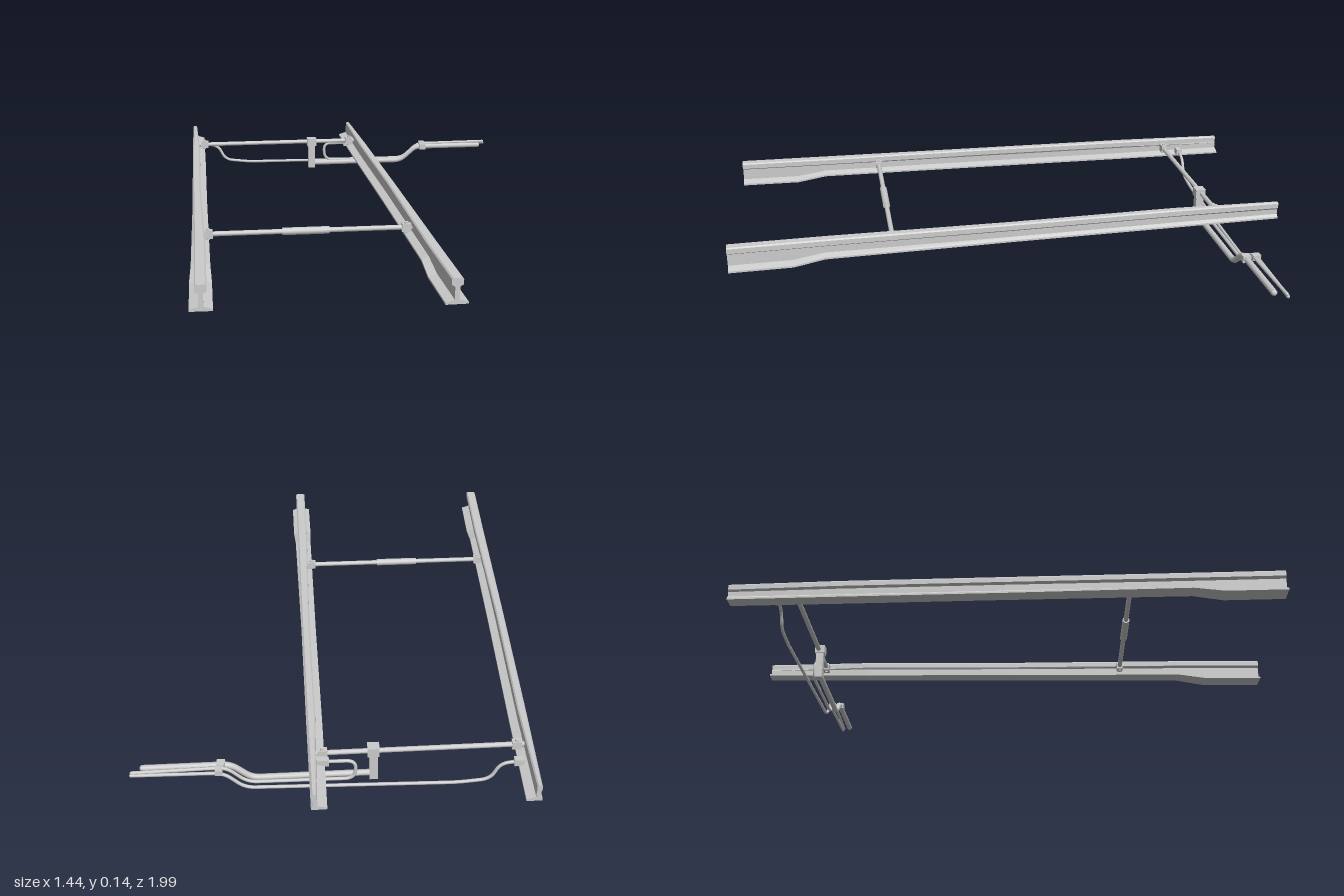
import * as THREE from 'three';

const steel = new THREE.MeshStandardMaterial({ color: 0xcccccc, side: THREE.DoubleSide });
const steelFlat = new THREE.MeshStandardMaterial({ color: 0xcccccc, flatShading: true, side: THREE.DoubleSide });
const V = (x, y, z) => new THREE.Vector3(x, y, z);

function part(name, geometry, material = steel) {
  const mesh = new THREE.Mesh(geometry, material);
  mesh.name = name;
  return mesh;
}

// Rail cross-section, counter-clockwise; u is outward, v is up
function railSection({ y0, yt, fi, fo, wi, wo, hi, ho }) {
  return [
    [fi, y0], [fo, y0], [fo, y0 + 0.006], [wo, y0 + 0.014], [wo, yt - 0.026], [ho, yt - 0.02],
    [ho, yt - 0.004], [ho - 0.004, yt], [hi + 0.004, yt], [hi, yt - 0.004], [hi, yt - 0.02],
    [wi, yt - 0.026], [wi, y0 + 0.014], [fi, y0 + 0.006],
  ].map(([u, v]) => new THREE.Vector2(u, v));
}

const full = { y0: 0.057, yt: 0.135, fi: -0.033, fo: 0.033, wi: -0.007, wo: 0.007, hi: -0.017, ho: 0.017 };
const raised = { ...full, y0: 0.073, fi: -0.03, fo: 0.028 };
const blade = { y0: 0.073, yt: 0.134, fi: -0.027, fo: 0.023, wi: -0.002, wo: 0.012, hi: -0.006, ho: 0.02 };
const tip = { y0: 0.073, yt: 0.13, fi: -0.025, fo: 0.022, wi: 0.003, wo: 0.014, hi: 0.004, ho: 0.019 };
const stations = [[0, full], [0.11, full], [0.165, raised], [0.5, blade], [0.8, blade], [1, tip]];

// Tapering switch rail lofted from heel to tip; side = +1 has its outside toward +x
function switchRail(heel, end, side) {
  const dir = end.clone().sub(heel).normalize();
  const out = V(-dir.z, 0, dir.x).multiplyScalar(side);
  const rings = stations.map(([, p]) => railSection(p));
  const n = rings[0].length;
  const pos = [], index = [];
  rings.forEach((ring, k) => {
    const c = heel.clone().lerp(end, stations[k][0]);
    for (const p of ring) {
      const q = c.clone().addScaledVector(out, p.x);
      pos.push(q.x, p.y, q.z);
    }
  });
  const tri = (a, b, c) => (side > 0 ? index.push(a, b, c) : index.push(a, c, b));
  for (let k = 0; k < rings.length - 1; k++) {
    for (let i = 0; i < n; i++) {
      const j = (i + 1) % n, a = k * n, b = a + n;
      tri(a + i, b + j, a + j);
      tri(a + i, b + i, b + j);
    }
  }
  const last = (rings.length - 1) * n;
  for (const [a, b, c] of THREE.ShapeUtils.triangulateShape(rings[0], [])) {
    tri(a, b, c);
    tri(last + a, last + c, last + b);
  }
  const g = new THREE.BufferGeometry();
  g.setAttribute('position', new THREE.Float32BufferAttribute(pos, 3));
  g.setIndex(index);
  const flat = g.toNonIndexed();
  flat.computeVertexNormals();
  return part('switchRail', flat, steelFlat);
}

// Straight round bar between two points
function bar(name, a, b, r) {
  const mesh = part(name, new THREE.CylinderGeometry(r, r, a.distanceTo(b), 12));
  mesh.position.copy(a).lerp(b, 0.5);
  mesh.quaternion.setFromUnitVectors(V(0, 1, 0), b.clone().sub(a).normalize());
  return mesh;
}

// Bent rod through points with rounded corners
function bentRod(name, pts, r, round = 0.025) {
  const path = new THREE.CurvePath();
  let from = pts[0];
  for (let i = 1; i < pts.length - 1; i++) {
    const p = pts[i];
    const toward = (q) => {
      const d = q.clone().sub(p);
      return p.clone().addScaledVector(d.clone().normalize(), Math.min(round, d.length() * 0.45));
    };
    const s = toward(pts[i - 1]), e = toward(pts[i + 1]);
    path.add(new THREE.LineCurve3(from, s));
    path.add(new THREE.QuadraticBezierCurve3(s, p, e));
    from = e;
  }
  path.add(new THREE.LineCurve3(from, pts[pts.length - 1]));
  const group = new THREE.Group();
  group.name = name;
  group.add(part('rod', new THREE.TubeGeometry(path, 120, r, 8)));
  for (const p of [pts[0], pts[pts.length - 1]]) {
    const cap = part('rodEnd', new THREE.SphereGeometry(r, 8, 6));
    cap.position.copy(p);
    group.add(cap);
  }
  return group;
}

// Block turned to line up with the cross bars
const turn = Math.atan2(0.265, 0.56);
function block(name, at, w, h, d) {
  const mesh = part(name, new THREE.BoxGeometry(w, h, d), steelFlat);
  mesh.position.copy(at);
  mesh.rotation.y = turn;
  return mesh;
}

// Bar tying both rails together, with clamps and bolts at the webs
function crossBar(name, a, b, sleeve) {
  const group = new THREE.Group();
  group.name = name;
  group.add(bar('shaft', a, b, 0.008));
  if (sleeve) group.add(bar('sleeve', a.clone().lerp(b, 0.38), a.clone().lerp(b, 0.6), 0.012));
  for (const t of [0.035, 0.965]) {
    const p = a.clone().lerp(b, t);
    group.add(block('clamp', p, 0.03, 0.026, 0.02));
    group.add(bar('bolt', p.clone().add(V(0, -0.018, 0)), p.clone().add(V(0, 0.018, 0)), 0.006));
  }
  return group;
}

export function createModel() {
  const model = new THREE.Group();
  model.name = 'railSwitchBlades';

  // Rails
  const rightRail = switchRail(V(0.045, 0, 0.978), V(-0.702, 0, -0.652), -1);
  rightRail.name = 'rightRail';
  const leftRail = switchRail(V(0.69, 0, 0.698), V(-0.142, 0, -0.917), 1);
  leftRail.name = 'leftRail';
  model.add(rightRail, leftRail);

  // Cross bars
  model.add(crossBar('frontCrossBar', V(-0.158, 0.106, 0.53), V(0.45, 0.106, 0.24), true));
  model.add(crossBar('rearCrossBar', V(-0.61, 0.106, -0.458), V(-0.045, 0.106, -0.732), false));

  // Drive rod hanging from the rear bar and passing under the left rail
  model.add(block('driveBracket', V(-0.2, 0.06, -0.652), 0.026, 0.12, 0.026));
  model.add(block('bracketCollar', V(-0.2, 0.106, -0.652), 0.036, 0.03, 0.034));
  model.add(bentRod('driveRod', [
    V(-0.2, 0.018, -0.652), V(0.13, 0.018, -0.811), V(0.185, 0.073, -0.838), V(0.418, 0.073, -0.95),
  ], 0.01));

  // Long detection rod from the right rail
  model.add(bentRod('longDetectionRod', [
    V(-0.625, 0.09, -0.518), V(-0.565, 0.085, -0.545), V(-0.54, 0.025, -0.557), V(-0.45, 0.014, -0.597),
    V(0.13, 0.014, -0.855), V(0.185, 0.073, -0.88), V(0.432, 0.073, -0.992),
  ], 0.0055, 0.03));

  // Short detection rod: hairpin from the left rail, back under it
  model.add(bentRod('shortDetectionRod', [
    V(-0.06, 0.09, -0.748), V(-0.165, 0.09, -0.7), V(-0.16, 0.022, -0.703),
    V(0.13, 0.022, -0.838), V(0.185, 0.08, -0.863), V(0.23, 0.08, -0.885), V(0.432, 0.08, -0.988),
  ], 0.0055, 0.03));

  // Small fittings on the rods
  model.add(block('rightLug', V(-0.615, 0.09, -0.522), 0.03, 0.022, 0.02));
  model.add(block('leftLug', V(-0.075, 0.09, -0.741), 0.035, 0.022, 0.02));
  model.add(block('driveJoint', V(0.21, 0.073, -0.85), 0.025, 0.022, 0.026));
  model.add(block('detectionJoint', V(0.2, 0.077, -0.88), 0.022, 0.018, 0.026));
  return model;
}
